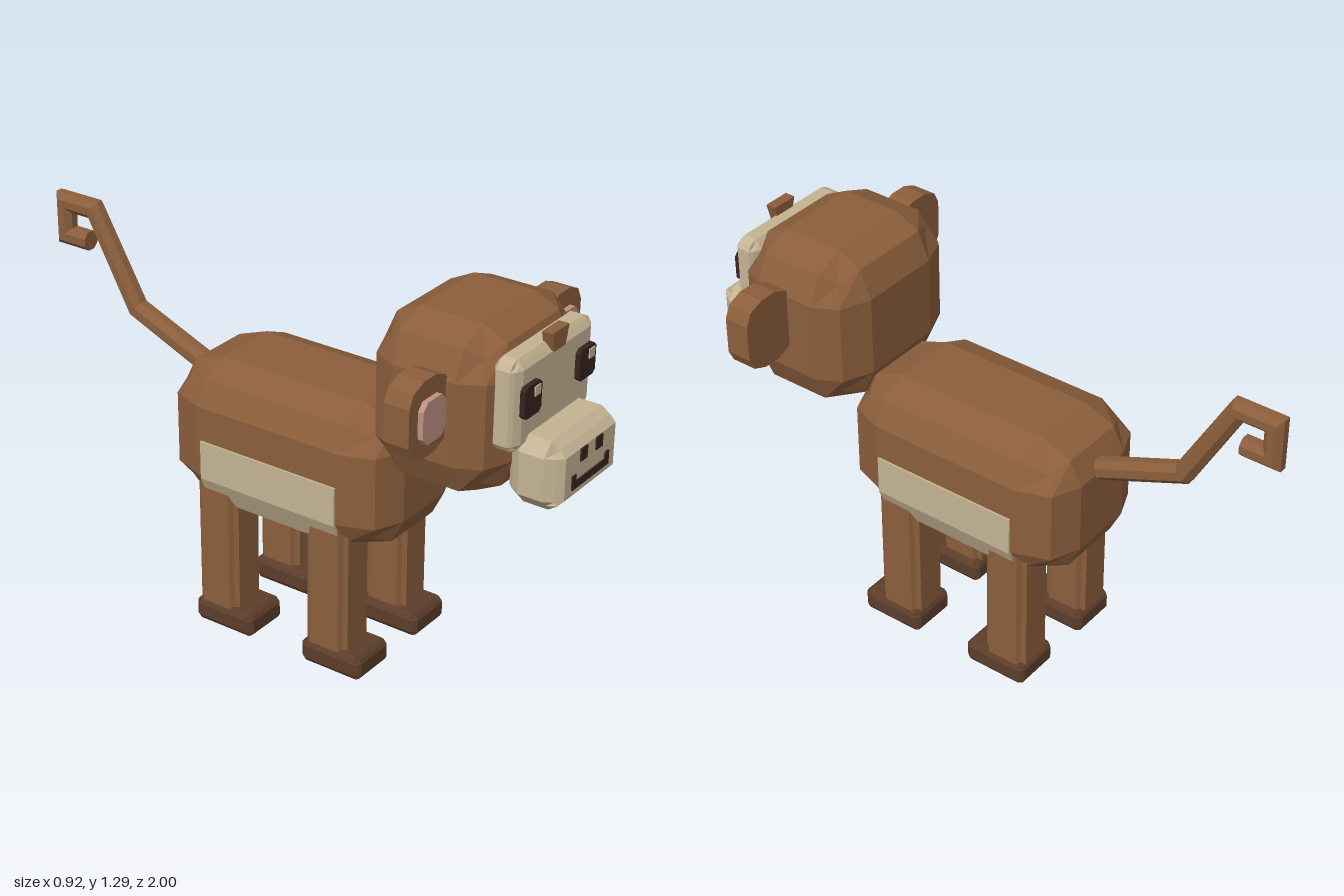
import * as THREE from 'three';

const mat = (name, color) => {
  const m = new THREE.MeshStandardMaterial({ color });
  m.name = name;
  return m;
};

export function createModel() {
  const fur = mat('brown fur', 0x8b5e3c);
  const foot = mat('dark brown feet', 0x5c3d2a);
  const cream = mat('cream skin', 0xc4b393);
  const pink = mat('pink inner ear', 0xbf8f80);
  const dark = mat('dark features', 0x38221f);

  const model = new THREE.Group();
  model.name = 'monkey';

  const add = (name, geo, material, x = 0, y = 0, z = 0) => {
    const mesh = new THREE.Mesh(geo, material);
    mesh.name = name;
    mesh.position.set(x, y, z);
    model.add(mesh);
    return mesh;
  };

  // Faceted block from half sizes; t places the inner loops, edges and corners are pulled in
  const block = (half, t, edge, corner) => {
    const g = new THREE.BoxGeometry(2, 2, 2, 3, 3, 3).toNonIndexed();
    const p = g.attributes.position;
    for (let i = 0; i < p.count; i++) {
      const v = [p.getX(i), p.getY(i), p.getZ(i)];
      const outer = v.filter((c) => Math.abs(c) > 0.9).length;
      const inset = outer === 3 ? corner : outer === 2 ? edge : 0;
      const q = v.map((c, k) =>
        Math.sign(c) * (Math.abs(c) > 0.9 ? half[k] - inset : half[k] * t[k]));
      p.setXYZ(i, ...q);
    }
    g.computeVertexNormals();
    return g;
  };

  const prism = (points, depth) => new THREE.ExtrudeGeometry(
    new THREE.Shape(points.map(([x, y]) => new THREE.Vector2(x, y))),
    { depth, bevelEnabled: false });

  // Rectangle with cut corners, each corner cut through the given offsets
  const cutRect = (w, h, cuts) => {
    const quarter = cuts.map(([a, b]) => [w - a, h - b]);
    const back = [...quarter].reverse();
    return [
      ...quarter,
      ...back.map(([x, y]) => [-x, y]),
      ...quarter.map(([x, y]) => [-x, -y]),
      ...back.map(([x, y]) => [x, -y]),
    ];
  };

  // Body and belly patch
  add('body', block([0.245, 0.24, 0.415], [0.45, 0.5, 0.64], 0.04, 0.07), fur, 0, 0.665, 0.022);
  const side = [[0.11, 0.416], [0.213, 0.455], [0.252, 0.54], [0.252, 0.67]];
  const mirrored = [...side].reverse().map(([x, y]) => [-x, y]);
  add('belly', prism([...side, ...mirrored], 0.51), cream, 0, 0, -0.23);

  // Legs and feet
  for (const s of [-1, 1]) {
    for (const [name, legZ, footZ] of [['front', 0.23, 0.257], ['back', -0.192, -0.162]]) {
      const label = name + (s > 0 ? 'Left' : 'Right');
      add(label + 'Leg', block([0.072, 0.255, 0.077], [0.7, 0.9, 0.7], 0.014, 0.024),
        fur, s * 0.161, 0.295, legZ);
      add(label + 'Foot', block([0.086, 0.042, 0.113], [0.8, 0.5, 0.82], 0.008, 0.014),
        foot, s * 0.157, 0.046, footZ);
    }
  }

  // Head, face and muzzle
  add('head', block([0.28, 0.265, 0.225], [0.5, 0.5, 0.47], 0.04, 0.07), fur, 0, 1.025, 0.603);
  add('face', block([0.218, 0.145, 0.045], [0.83, 0.8, 0.5], 0.012, 0.02), cream, 0, 1.09, 0.825);
  add('muzzle', block([0.177, 0.11, 0.09], [0.78, 0.62, 0.45], 0.02, 0.036), cream, 0, 0.883, 0.905);

  // Hair tuft
  add('hairTuft', prism([[-0.03, 1.208], [0.03, 1.208], [0.046, 1.267], [-0.046, 1.267]], 0.035),
    fur, 0, 0, 0.842);

  // Ears and eyes
  const earShape = cutRect(0.1, 0.12, [[0, 0.06], [0.02, 0.02], [0.07, 0]]);
  const innerShape = cutRect(0.057, 0.066, [[0, 0.024], [0.022, 0]]);
  const eyeShape = cutRect(0.045, 0.05, [[0, 0.012], [0.012, 0]]);
  for (const s of [-1, 1]) {
    const label = s > 0 ? 'left' : 'right';
    add(label + 'Ear', prism(earShape, 0.085), fur, s * 0.36, 1.08, 0.595);
    add(label + 'InnerEar', prism(innerShape, 0.02), pink, s * 0.36, 1.077, 0.678);
    add(label + 'Eye', prism(eyeShape, 0.017), dark, s * 0.149, 1.109, 0.869);
    add(label + 'EyeGlint', new THREE.BoxGeometry(0.03, 0.03, 0.006), cream,
      s * 0.149 + 0.018, 1.133, 0.887);
    add(label + 'Nostril', new THREE.BoxGeometry(0.035, 0.04, 0.009), dark, s * 0.043, 0.931, 0.9955);
    add(label + 'MouthCorner', new THREE.BoxGeometry(0.02, 0.022, 0.009), dark,
      s * 0.092, 0.869, 0.9955);
  }
  add('mouth', new THREE.BoxGeometry(0.204, 0.023, 0.009), dark, 0, 0.8465, 0.9955);

  // Curled tail: mitred octagonal rings along a path of [y, z, radius]
  const path = [[0.745, -0.28, 0.036], [0.91, -0.68, 0.034], [1.21, -0.847, 0.032],
    [1.21, -0.968, 0.032], [1.095, -0.968, 0.032], [1.095, -0.87, 0.032]];
  const sides = 8;
  const pos = [];
  const idx = [];
  const normals = path.slice(1).map(([y, z], i) =>
    new THREE.Vector2(z - path[i][1], path[i][0] - y).normalize());
  path.forEach(([y, z, r], i) => {
    const a = normals[Math.max(i - 1, 0)];
    const b = normals[Math.min(i, normals.length - 1)];
    const miter = a.clone().add(b).divideScalar(1 + a.dot(b));
    for (let k = 0; k < sides; k++) {
      const angle = ((k + 0.5) / sides) * Math.PI * 2;
      const n = Math.sin(angle) * r * 1.05;
      pos.push(Math.cos(angle) * r * 1.05, y + miter.x * n, z + miter.y * n);
      if (i === 0) continue;
      const d = i * sides + k;
      const c = i * sides + (k + 1) % sides;
      idx.push(d - sides, c - sides, c, d - sides, c, d);
    }
  });
  const last = (path.length - 1) * sides;
  for (let k = 1; k < sides - 1; k++) idx.push(last, last + k, last + k + 1);
  const indexed = new THREE.BufferGeometry();
  indexed.setAttribute('position', new THREE.Float32BufferAttribute(pos, 3));
  indexed.setIndex(idx);
  const tail = indexed.toNonIndexed();
  tail.computeVertexNormals();
  add('tail', tail, fur);

  return model;
}
